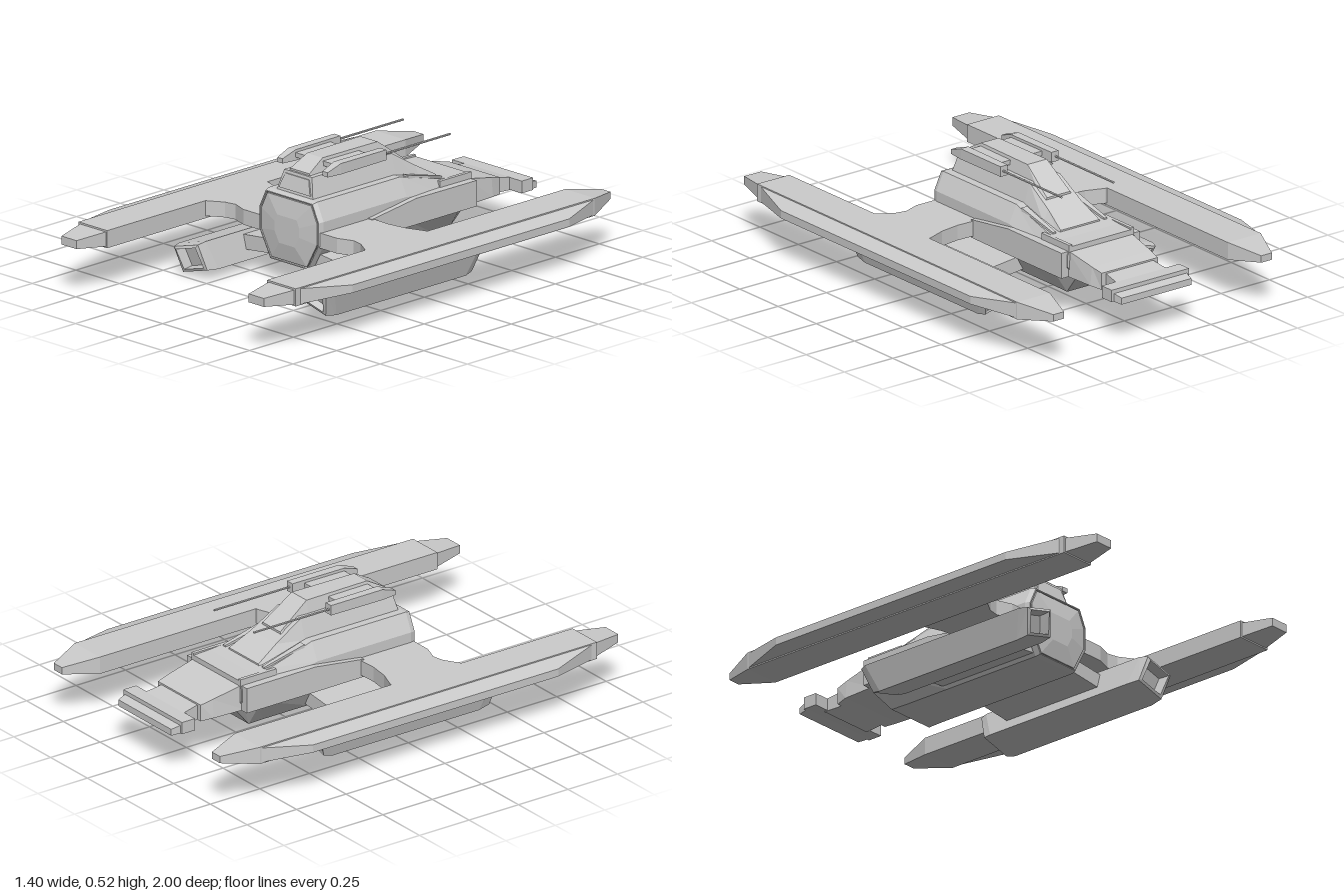
import * as THREE from 'three';

const mat = new THREE.MeshStandardMaterial({ color: 0xcccccc, flatShading: true });

// Skin a closed solid over equal-length rings of [x, y, z] points, turned outward
function loft(name, rings) {
  const tris = [], n = rings[0].length;
  for (let r = 0; r < rings.length - 1; r++) {
    for (let i = 0; i < n; i++) {
      const j = (i + 1) % n, a = rings[r], b = rings[r + 1];
      tris.push([a[i], a[j], b[j]], [a[i], b[j], b[i]]);
    }
  }
  const cap = (ring, flip) => {
    const c = [0, 1, 2].map(k => ring.reduce((s, p) => s + p[k], 0) / n);
    ring.forEach((p, i) => {
      const q = ring[(i + 1) % n];
      tris.push(flip ? [c, q, p] : [c, p, q]);
    });
  };
  cap(rings[0], true);
  cap(rings[rings.length - 1], false);
  let volume = 0;
  for (const [a, b, c] of tris) {
    volume += a[0] * (b[1] * c[2] - b[2] * c[1]) + a[1] * (b[2] * c[0] - b[0] * c[2]) + a[2] * (b[0] * c[1] - b[1] * c[0]);
  }
  const pos = tris.flatMap(([a, b, c]) => (volume < 0 ? [a, c, b] : [a, b, c]).flat());
  const g = new THREE.BufferGeometry();
  g.setAttribute('position', new THREE.Float32BufferAttribute(pos, 3));
  g.computeVertexNormals();
  const m = new THREE.Mesh(g, mat);
  m.name = name;
  return m;
}

// Rectangle at depth z
const rect = (x0, x1, y0, y1, z) => [[x0, y0, z], [x1, y0, z], [x1, y1, z], [x0, y1, z]];
// Symmetric trapezoid at depth z, with separate depth for the top edge
const trap = (wb, wt, y0, y1, z0, z1 = z0) => [[-wb, y0, z0], [wb, y0, z0], [wt, y1, z1], [-wt, y1, z1]];
// Flat outline of [x, z] points at height y
const flat = (pts, y) => pts.map(([x, z]) => [x, y, z]);

function box(name, x0, x1, y0, y1, z0, z1) {
  const m = new THREE.Mesh(new THREE.BoxGeometry(Math.abs(x1 - x0), y1 - y0, z1 - z0), mat);
  m.position.set((x0 + x1) / 2, (y0 + y1) / 2, (z0 + z1) / 2);
  m.name = name;
  return m;
}

// Eight-sided hull section: top, shoulder, waist and keel
function hullRing(z, top, bottom, k = 1, wt = 0.14, ws = 0.177, wk = 0.112) {
  const h = top - bottom, half = [[wk, bottom], [ws, bottom + h * 0.4], [ws, bottom + h * 0.74], [wt, top]];
  const mid = (top + bottom) / 2;
  return [...half, ...half.map(([x, y]) => [-x, y]).reverse()].map(([x, y]) => [x * k, mid + (y - mid) * k, z]);
}

function pontoon(s) {
  const g = new THREE.Group();
  g.name = s > 0 ? 'leftPontoon' : 'rightPontoon';
  const R = (a, b, ...rest) => rect(s * a, s * b, ...rest);
  g.add(loft('pontoonBody', [
    R(0.51, 0.565, 0.212, 0.242, -1),
    R(0.46, 0.63, 0.19, 0.265, -0.845),
    R(0.46, 0.625, 0.19, 0.265, 0.86)]));
  g.add(loft('pontoonNose', [R(0.467, 0.617, 0.195, 0.258, 0.855), R(0.495, 0.582, 0.21, 0.246, 1)]));
  // Thin outer flange, tapering outward
  const flange = (x, zr, zf, y0, y1) => [[s * x, y0, zr], [s * x, y1, zr], [s * x, y1, zf], [s * x, y0, zf]];
  g.add(loft('outerFlange', [
    flange(0.6, -0.86, 0.86, 0.195, 0.26),
    flange(0.628, -0.845, 0.83, 0.195, 0.26),
    flange(0.7, -0.63, 0.61, 0.208, 0.242)]));
  return g;
}

function wing(s) {
  const pts = [[0.12, -0.01], [0.2, -0.015], [0.28, -0.012], [0.37, -0.025], [0.45, -0.055], [0.48, -0.055],
    [0.48, 0.31], [0.455, 0.295], [0.39, 0.255], [0.34, 0.245], [0.27, 0.27], [0.12, 0.27]].map(([x, z]) => [s * x, z]);
  return loft('wing', [flat(pts, 0.2), flat(pts, 0.265)]);
}

function pod(s) {
  const g = new THREE.Group();
  g.name = s > 0 ? 'leftPod' : 'rightPod';
  const a = -15 * Math.PI / 180, c = Math.cos(a), d = Math.sin(a);
  // Tilted rectangle; the lower edge may sit at another depth
  const ring = (k, zt, zb = zt) => [[-1, -1], [1, -1], [1, 1], [-1, 1]].map(([u, v]) => {
    const x = u * 0.08 * k, y = v * 0.062 * k;
    return [s * (0.355 + x * c - y * d), 0.086 + x * d + y * c, v > 0 ? zt : zb];
  });
  g.add(loft('podShell', [
    ring(0.62, -0.33, -0.29), ring(0.72, -0.4, -0.36), ring(0.9, -0.4, -0.36), ring(1, -0.37, -0.32),
    ring(1, 0.46, 0.42), ring(0.9, 0.5, 0.475), ring(0.72, 0.505, 0.48), ring(0.62, 0.46, 0.44)]));
  // Broad arm joining the pod to the hull
  const arm = (x, y0, y1) => [[s * x, y0, -0.24], [s * x, y1, -0.24], [s * x, y1, 0.25], [s * x, y0, 0.25]];
  g.add(loft('podArm', [arm(0.08, 0.11, 0.172), arm(0.31, 0.085, 0.148)]));
  return g;
}

function gun(s) {
  const g = new THREE.Group();
  g.name = s > 0 ? 'leftGun' : 'rightGun';
  g.add(loft('gunHousing', [
    rect(s * 0.113, s * 0.15, 0.48, 0.524, -0.13),
    rect(s * 0.11, s * 0.15, 0.478, 0.524, 0.13),
    rect(s * 0.115, s * 0.145, 0.48, 0.5, 0.2)]));
  g.add(box('gunArm', s * 0.03, s * 0.115, 0.492, 0.512, -0.07, 0.13));
  const barrel = new THREE.Mesh(new THREE.CylinderGeometry(0.005, 0.005, 0.4, 6), mat);
  barrel.name = 'gunBarrel';
  barrel.rotation.x = Math.PI / 2;
  barrel.position.set(s * 0.135, 0.502, -0.31);
  g.add(barrel);
  return g;
}

export function createModel() {
  const model = new THREE.Group();
  model.name = 'twinPontoonCraft';

  // Main hull, with a rim and a slightly bulged front panel
  model.add(loft('hull', [
    hullRing(-0.6, 0.32, 0.18, 1, 0.155, 0.175, 0.13),
    hullRing(-0.52, 0.323, 0.09, 1, 0.155, 0.176, 0.115),
    hullRing(-0.44, 0.33, 0.09, 1, 0.15),
    hullRing(-0.22, 0.386, 0.09),
    hullRing(0.255, 0.386, 0.09),
    hullRing(0.277, 0.386, 0.09, 0.96),
    hullRing(0.277, 0.386, 0.09, 0.93),
    hullRing(0.268, 0.386, 0.09, 0.92)]));
  model.add(loft('frontPanel', [
    hullRing(0.25, 0.386, 0.09, 0.9),
    hullRing(0.276, 0.386, 0.09, 0.9),
    hullRing(0.29, 0.386, 0.09, 0.4)]));

  // Cabin, with a long sloping rear
  model.add(loft('cabin', [
    trap(0.11, 0.1, 0.31, 0.335, -0.46),
    trap(0.11, 0.085, 0.34, 0.392, -0.36),
    trap(0.105, 0.08, 0.38, 0.47, -0.23),
    trap(0.105, 0.08, 0.38, 0.47, 0.245, 0.225)]));
  model.add(loft('frontWindow', [trap(0.092, 0.07, 0.395, 0.46, 0.22, 0.2), trap(0.09, 0.068, 0.397, 0.458, 0.247, 0.232)]));

  // Turret block on the cabin
  model.add(loft('turret', [
    trap(0.075, 0.06, 0.4, 0.425, -0.32),
    trap(0.065, 0.05, 0.45, 0.525, -0.18),
    trap(0.06, 0.045, 0.45, 0.525, 0.13),
    trap(0.065, 0.055, 0.45, 0.478, 0.215)]));

  for (const s of [1, -1]) {
    model.add(pontoon(s), wing(s), pod(s), gun(s));
    // Side sponson, sloping up toward the rear
    model.add(loft('sponson', [
      rect(s * 0.13, s * 0.203, 0.19, 0.3, -0.595),
      rect(s * 0.13, s * 0.203, 0.19, 0.302, -0.25),
      rect(s * 0.13, s * 0.2, 0.19, 0.268, 0)]));
    // Rear deck rail and sloping cheek
    model.add(box('deckRail', s * 0.152, s * 0.168, 0.29, 0.328, -0.6, -0.42));
    model.add(loft('rearCheek', [
      rect(s * 0.125, s * 0.14, 0.3, 0.335, -0.46),
      rect(s * 0.115, s * 0.145, 0.3, 0.384, -0.26)]));
  }

  // Tail boom and crossbar
  model.add(loft('tailBoom', [
    trap(0.13, 0.13, 0.182, 0.235, -0.87),
    trap(0.122, 0.122, 0.185, 0.25, -0.785),
    trap(0.145, 0.145, 0.185, 0.257, -0.785),
    trap(0.16, 0.152, 0.19, 0.27, -0.73),
    trap(0.168, 0.163, 0.19, 0.302, -0.58)]));
  model.add(box('tailCrossbar', -0.2, 0.2, 0.185, 0.237, -0.92, -0.855));
  model.add(loft('tailEdge', [trap(0.18, 0.18, 0.182, 0.21, -0.96), trap(0.19, 0.19, 0.185, 0.222, -0.91)]));

  return model;
}
